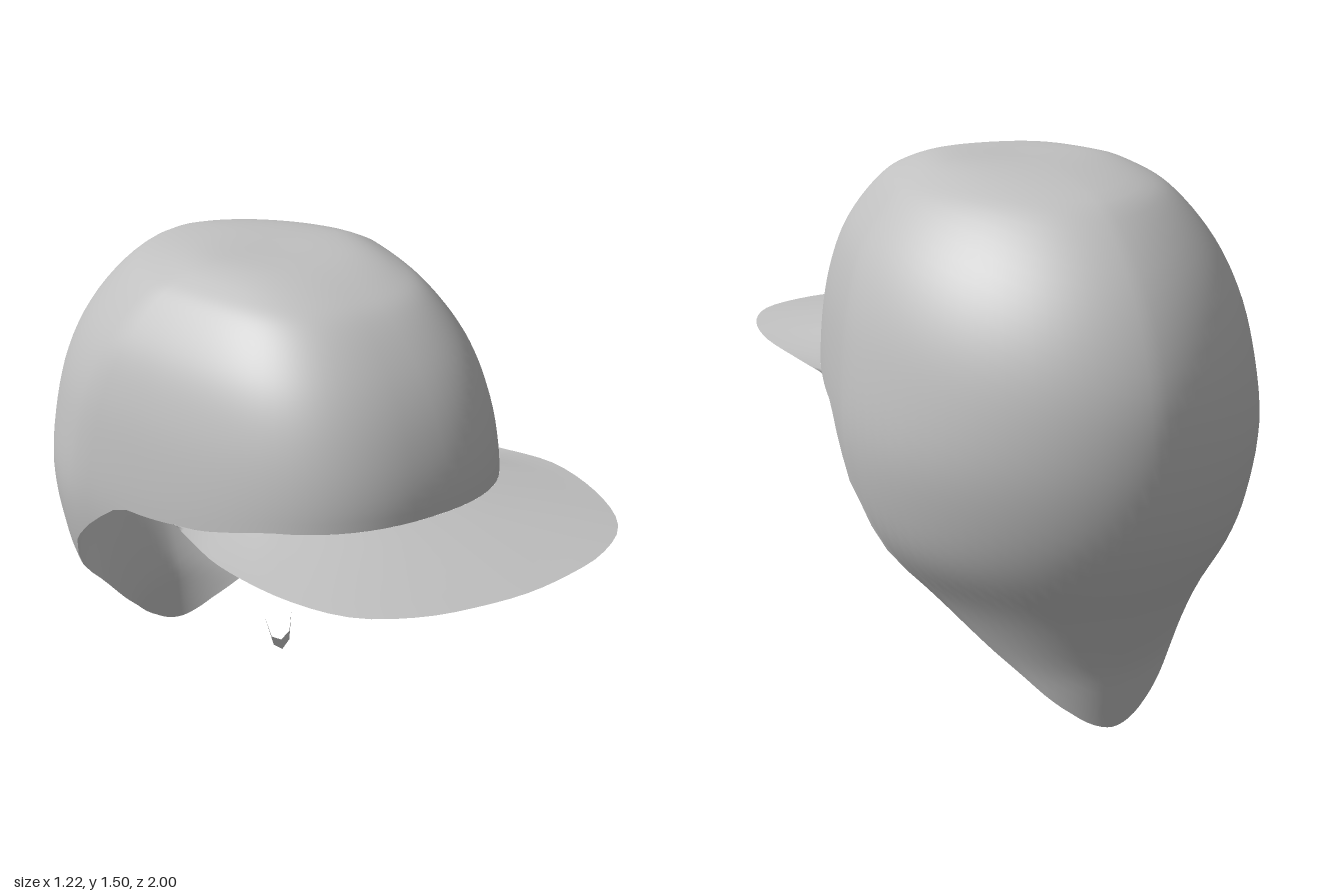
import * as THREE from 'three';
import { mergeVertices } from 'three/addons/utils/BufferGeometryUtils.js';

// Crown cross-sections from the top down: y, half width, front z, back z, z of widest point
const SECTIONS = [
  [1.503, 0, -0.15, -0.15, -0.15],
  [1.5, 0.22, 0.08, -0.36, -0.15],
  [1.46, 0.34, 0.25, -0.6, -0.17],
  [1.4, 0.42, 0.36, -0.72, -0.2],
  [1.28, 0.51, 0.475, -0.845, -0.23],
  [1.14, 0.565, 0.555, -0.935, -0.27],
  [0.98, 0.595, 0.6, -0.99, -0.3],
  [0.8, 0.61, 0.6, -1, -0.33],
  [0.63, 0.59, 0.59, -0.975, -0.33],
  [0.49, 0.55, 0.57, -0.925, -0.33],
  [0.35, 0.455, 0.55, -0.86, -0.33],
  [0.2, 0.39, 0.53, -0.8, -0.33],
  [0.1, 0.37, 0.52, -0.78, -0.33],
  [0, 0.37, 0.52, -0.765, -0.33],
];

// Lower edge of the crown: z, y
const RIM = [
  [-0.765, 0], [-0.74, 0.05], [-0.68, 0.14], [-0.62, 0.22], [-0.53, 0.35], [-0.45, 0.49],
  [-0.37, 0.63], [-0.25, 0.74], [-0.12, 0.83], [0, 0.835], [0.2, 0.86], [0.4, 0.91], [0.6, 0.93],
];

function rimHeight(z) {
  if (z <= RIM[0][0]) return RIM[0][1];
  for (let i = 1; i < RIM.length; i++) {
    const [z0, y0] = RIM[i - 1], [z1, y1] = RIM[i];
    if (z <= z1) return y0 + (y1 - y0) * (z - z0) / (z1 - z0);
  }
  return RIM[RIM.length - 1][1];
}

// Smoothly interpolated cross-section at s (0 = top)
function section(s) {
  const last = SECTIONS.length - 1;
  const i = Math.min(Math.floor(s), last - 1), f = s - i;
  const at = (k) => SECTIONS[Math.max(0, Math.min(last, k))];
  return SECTIONS[0].map((_, c) => {
    const p0 = at(i - 1)[c], p1 = at(i)[c], p2 = at(i + 1)[c], p3 = at(i + 2)[c];
    const m1 = (p2 - p0) / 2, m2 = (p3 - p1) / 2;
    return p1 + f * (m1 + f * (3 * (p2 - p1) - 2 * m1 - m2 + f * (2 * (p1 - p2) + m1 + m2)));
  });
}

// Point on the crown; angle 0 is the back, PI the front
function crownPoint(a, s) {
  const [y, w, front, back, mid] = section(s);
  const t = Math.min(1, Math.abs(Math.cos(a)));
  const isFront = Math.cos(a) < 0;
  const p = isFront ? 2.3 : 1.75;
  let x = w * Math.pow(Math.max(0, 1 - Math.pow(t, p)), 1 / p) * Math.sign(Math.sin(a));
  if (isFront) x *= 1 - 0.07 * Math.sin(Math.PI * t);
  return new THREE.Vector3(x, y, mid + t * (isFront ? front - mid : back - mid));
}

// Section parameter at which a column meets the lower edge
function rimParameter(a) {
  let lo = 1, hi = SECTIONS.length - 1;
  for (let k = 0; k < 30; k++) {
    const m = (lo + hi) / 2, q = crownPoint(a, m);
    if (q.y > rimHeight(q.z)) lo = m; else hi = m;
  }
  return lo;
}

// Smooth sheet from a function of u, v in 0..1
function sheet(nu, nv, columnAt) {
  const pos = [], index = [];
  for (let i = 0; i <= nu; i++) {
    const column = columnAt(i / nu);
    for (let j = 0; j <= nv; j++) pos.push(...column(j / nv).toArray());
  }
  for (let i = 0; i < nu; i++) {
    for (let j = 0; j < nv; j++) {
      const a = i * (nv + 1) + j, b = a + nv + 1;
      index.push(a, b, a + 1, b, b + 1, a + 1);
    }
  }
  let g = new THREE.BufferGeometry();
  g.setAttribute('position', new THREE.Float32BufferAttribute(pos, 3));
  g.setIndex(index);
  g = mergeVertices(g, 1e-5);
  g.computeVertexNormals();
  return g;
}

export function createModel() {
  const group = new THREE.Group();
  const grey = new THREE.MeshStandardMaterial({ color: 0xc0c0c0, side: THREE.DoubleSide });
  grey.name = 'grey';
  const add = (name, geometry) => {
    const mesh = new THREE.Mesh(geometry, grey);
    mesh.name = name;
    group.add(mesh);
  };

  // Crown: open shell, long at the back
  add('crown', sheet(96, 40, (u) => {
    const a = u * Math.PI * 2, end = rimParameter(a);
    return (v) => crownPoint(a, v * end);
  }));

  // Brim: thin sheet from the front lower edge to a rounded outline
  const half = [
    [0.51, 0.845, 0.06], [0.555, 0.865, 0.25], [0.585, 0.88, 0.45],
    [0.54, 0.877, 0.7], [0.45, 0.873, 0.86], [0.3, 0.87, 0.95], [0.15, 0.868, 0.985],
  ];
  const outline = new THREE.CatmullRomCurve3([
    ...half.map(([x, y, z]) => new THREE.Vector3(x, y, z)),
    new THREE.Vector3(0, 0.868, 1),
    ...half.slice().reverse().map(([x, y, z]) => new THREE.Vector3(-x, y, z)),
  ]);
  const start = Math.acos(-0.42);
  add('brim', sheet(48, 6, (u) => {
    const a = start + u * 2 * (Math.PI - start);
    const inner = crownPoint(a, rimParameter(a)), outer = outline.getPointAt(u);
    return (v) => inner.clone().lerp(outer, v);
  }));

  // Small loose V-shaped piece below the crown
  const vee = new THREE.Shape([
    [-0.05, 0.28], [-0.03, 0.187], [0, 0.163], [0.03, 0.187], [0.05, 0.28], [0.034, 0.215], [0, 0.195], [-0.034, 0.215],
  ].map(([x, y]) => new THREE.Vector2(x, y)));
  const veeGeometry = new THREE.ShapeGeometry(vee);
  const p = veeGeometry.attributes.position;
  for (let i = 0; i < p.count; i++) p.setZ(i, -0.137 - (p.getY(i) - 0.163) * 0.18);
  veeGeometry.computeVertexNormals();
  add('chinPiece', veeGeometry);

  return group;
}
